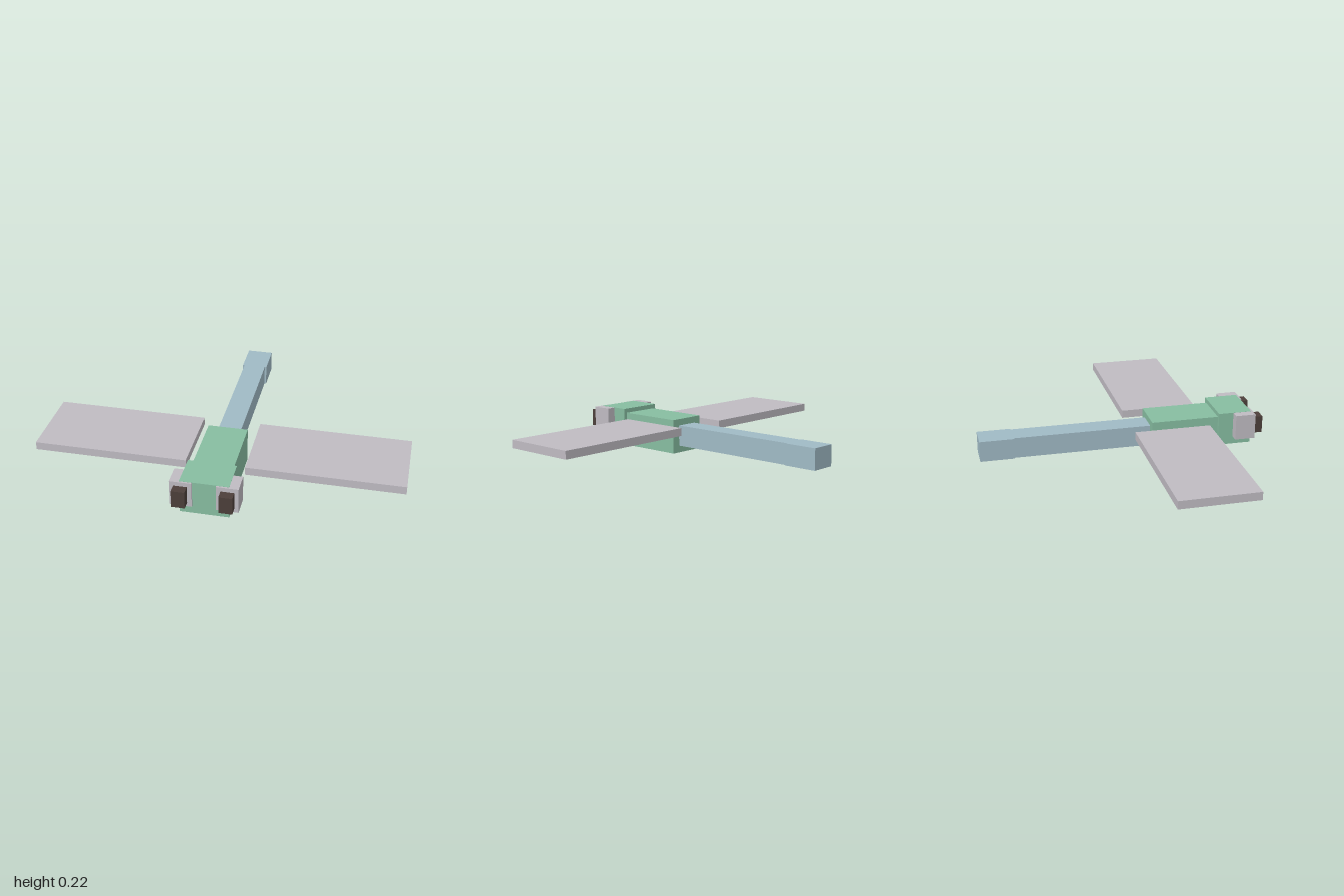
import * as THREE from 'three';

const material = (name, color) => {
  const m = new THREE.MeshStandardMaterial({ color });
  m.name = name;
  return m;
};

export function createModel() {
  const model = new THREE.Group();
  model.name = 'dragonfly';

  const green = material('leaf green', 0x87bda1);
  const blue = material('pale blue', 0xa0bac5);
  const grey = material('pale grey', 0xbfbbc2);
  const dark = material('dark brown', 0x4c3f3a);

  // Box given by its extents along each axis
  const box = (name, mat, [x0, x1], [y0, y1], [z0, z1]) => {
    const mesh = new THREE.Mesh(new THREE.BoxGeometry(x1 - x0, y1 - y0, z1 - z0), mat);
    mesh.position.set((x0 + x1) / 2, (y0 + y1) / 2, (z0 + z1) / 2);
    mesh.name = name;
    model.add(mesh);
  };

  // Body, from head to tail
  box('head', green, [-0.13, 0.13], [0.03, 0.22], [0.55, 0.74]);
  box('thorax', green, [-0.11, 0.11], [0, 0.195], [0.165, 0.6]);
  box('tail', blue, [-0.063, 0.063], [0.04, 0.158], [-0.61, 0.165]);
  box('tailTip', blue, [-0.073, 0.073], [0.04, 0.158], [-0.8, -0.61]);

  // Paired parts, mirrored across x
  for (const [side, s] of [['left', 1], ['right', -1]]) {
    const span = (a, b) => (s > 0 ? [a, b] : [-b, -a]);
    box(side + 'Wing', grey, span(0.16, 1), [0.125, 0.17], [0.055, 0.487]);
    // Eye top sits just under the head top so the faces do not overlap
    box(side + 'Eye', grey, span(0.063, 0.18), [0.075, 0.219], [0.635, 0.75]);
    box(side + 'Pupil', dark, span(0.087, 0.158), [0.098, 0.195], [0.74, 0.8]);
  }

  return model;
}
